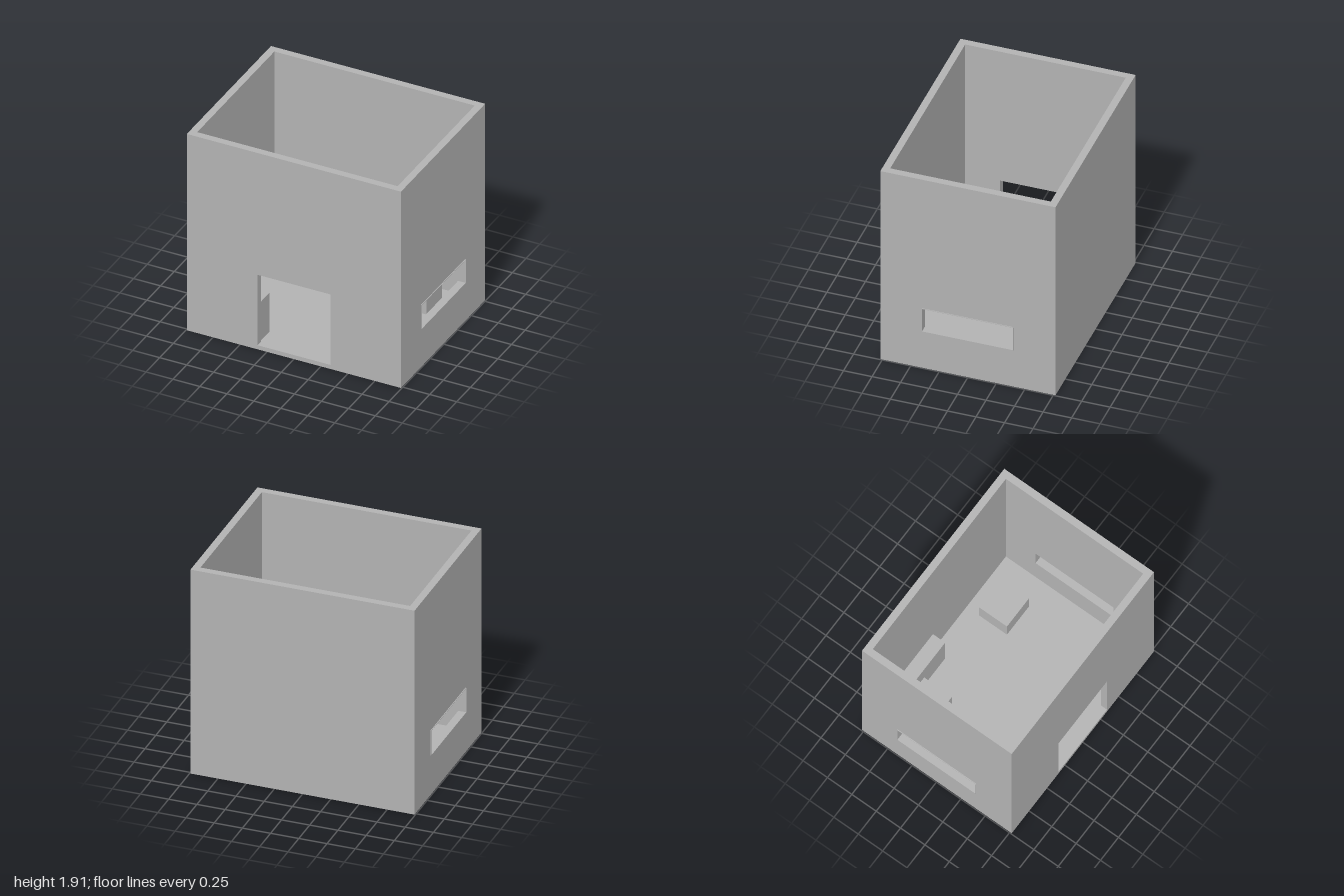
import * as THREE from 'three';

const W = 0.993, D = 0.768, H = 1.915; // half width, half depth, height
const T = 0.064, FLOOR = 0.04;         // wall and floor thickness

export function createModel() {
  const group = new THREE.Group();
  const grey = new THREE.MeshStandardMaterial({ color: 0xb2b2b2 });
  grey.name = 'plainGrey';

  const add = (name, geometry, parent = group) => {
    const mesh = new THREE.Mesh(geometry, grey);
    mesh.name = name;
    parent.add(mesh);
    return mesh;
  };
  // Box given by its limits on each axis
  const box = (name, x0, x1, y0, y1, z0, z1, parent) => {
    const mesh = add(name, new THREE.BoxGeometry(x1 - x0, y1 - y0, z1 - z0), parent);
    mesh.position.set((x0 + x1) / 2, (y0 + y1) / 2, (z0 + z1) / 2);
    return mesh;
  };
  const rect = (target, half, y0, y1) => {
    target.moveTo(-half, y0);
    target.lineTo(half, y0);
    target.lineTo(half, y1);
    target.lineTo(-half, y1);
    target.closePath();
    return target;
  };
  // Upright wall with one rectangular opening
  const wallWithOpening = (name, half, openHalf, y0, y1) => {
    const shape = rect(new THREE.Shape(), half, 0, H);
    shape.holes.push(rect(new THREE.Path(), openHalf, y0, y1));
    return add(name, new THREE.ExtrudeGeometry(shape, { depth: T, bevelEnabled: false }));
  };

  // Shell, open at the top
  box('floor', -W + T, W - T, 0, FLOOR, -D + T, D - T);
  box('backWall', -W, W, 0, H, -D, -D + T);
  wallWithOpening('frontWall', W, 0.338, FLOOR, 0.727).position.z = D - T;

  // Side walls with a wide window and a thin sleeve standing slightly proud
  const wz = 0.4, wy0 = 0.375, wy1 = 0.602, t = 0.004;
  for (const [side, s] of [['left', 1], ['right', -1]]) {
    const wall = wallWithOpening(side + 'Wall', D - T, wz + t, wy0 - t, wy1 + t);
    wall.rotation.y = s * Math.PI / 2;
    wall.position.x = s * (W - T);

    const sleeve = new THREE.Group();
    sleeve.name = side + 'WindowSleeve';
    group.add(sleeve);
    const [x0, x1] = s > 0 ? [W - T, 1] : [-1, -W + T];
    box('sleeveBottom', x0, x1, wy0 - t, wy0, -wz - t, wz + t, sleeve);
    box('sleeveTop', x0, x1, wy1, wy1 + t, -wz - t, wz + t, sleeve);
    box('sleeveFront', x0, x1, wy0, wy1, wz, wz + t, sleeve);
    box('sleeveBack', x0, x1, wy0, wy1, -wz - t, -wz, sleeve);
  }

  // Blocks standing on the floor inside
  box('rightLowBlock', -0.693, -0.385, FLOOR, 0.235, -0.576, -0.29);
  box('leftLowBlock', 0.38, 0.69, FLOOR, 0.235, -0.576, -0.29);
  box('backTallBlock', -0.515, -0.09, FLOOR, 0.42, -D + T, -0.578);
  box('doorTallBlock', -0.585, -0.345, FLOOR, 0.42, 0.534, D - T);

  return group;
}
